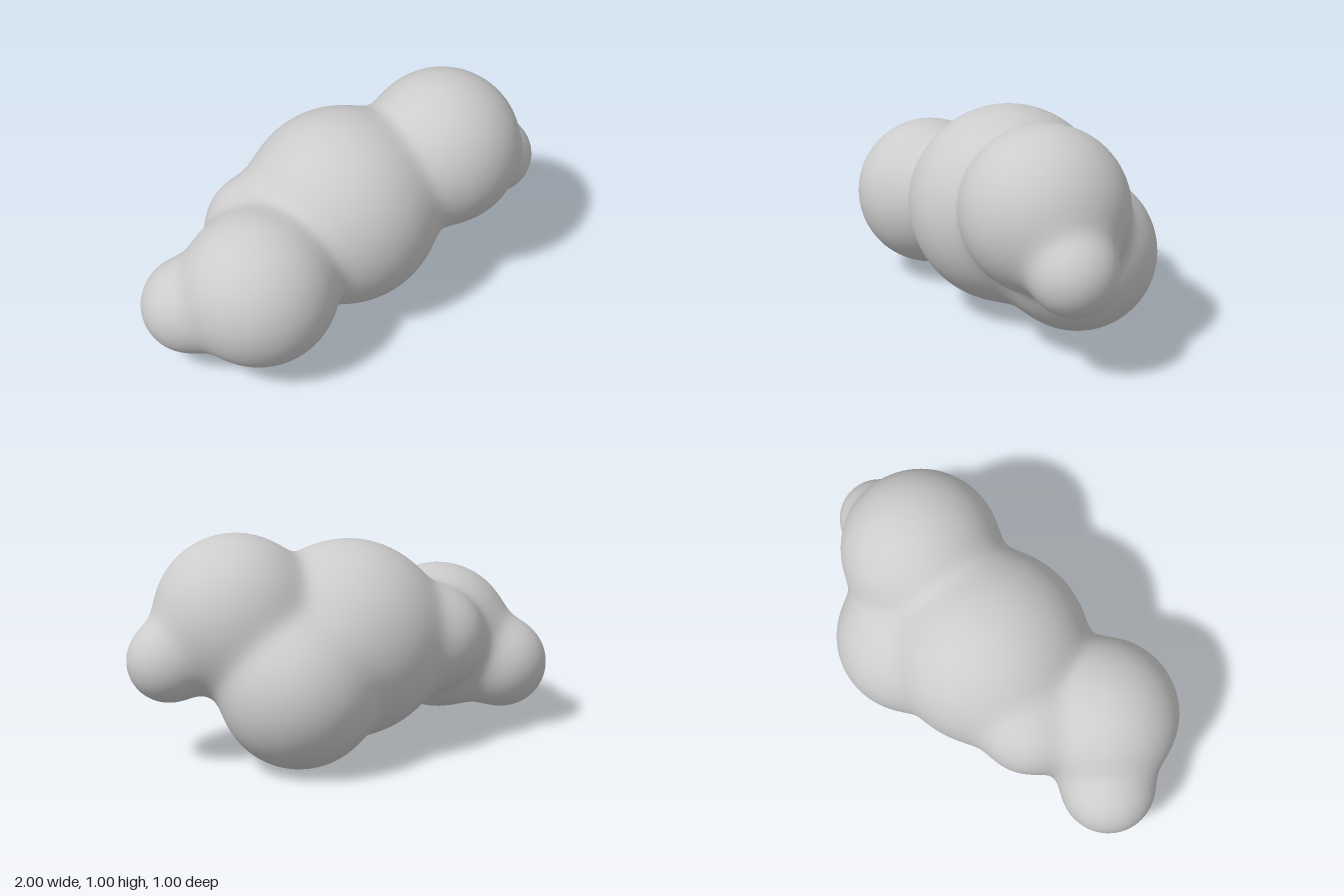
import * as THREE from 'three';

// Puffs of the cloud: name, centre x, y, z and radius
const PUFFS = [
  ['leftEndPuff', 0.82, 0.47, 0.13, 0.18],
  ['leftUpperPuff', 0.51, 0.64, 0.105, 0.36],
  ['leftBackPuff', 0.33, 0.35, -0.15, 0.35],
  ['middlePuff', 0, 0.495, 0.02, 0.445],
  ['rightBackPuff', -0.37, 0.48, -0.11, 0.23],
  ['rightPuff', -0.56, 0.405, 0.16, 0.343],
  ['rightEndPuff', -0.79, 0.29, -0.045, 0.21],
].map(([name, x, y, z, r]) => ({ name, r, centre: new THREE.Vector3(x, y, z) }));

const BLEND = 0.033; // softness of the valleys between puffs
const REACH = 0.09; // how deep inside the cloud a vertex may be and still be lifted

// Signed distance to the softly merged puffs; writes the outward direction to normal
function cloudDistance(p, normal) {
  let sum = 0;
  normal.set(0, 0, 0);
  for (const { centre, r } of PUFFS) {
    const away = p.clone().sub(centre);
    const weight = Math.exp((r - away.length()) / BLEND);
    sum += weight;
    normal.addScaledVector(away.normalize(), weight);
  }
  normal.normalize();
  return -BLEND * Math.log(sum);
}

// A sphere whose vertices near the seams are lifted onto the merged surface
function puffGeometry({ centre, r }) {
  const geometry = new THREE.IcosahedronGeometry(r, r > 0.3 ? 14 : 10);
  const position = geometry.attributes.position;
  const normals = geometry.attributes.normal;
  const p = new THREE.Vector3();
  const n = new THREE.Vector3();
  for (let i = 0; i < position.count; i++) {
    p.fromBufferAttribute(position, i).add(centre);
    if (cloudDistance(p, n) > -REACH) {
      for (let step = 0; step < 4; step++) p.addScaledVector(n, -cloudDistance(p, n));
      cloudDistance(p, n);
      normals.setXYZ(i, n.x, n.y, n.z);
    }
    p.sub(centre);
    position.setXYZ(i, p.x, p.y, p.z);
  }
  return geometry;
}

export function createModel() {
  const cloud = new THREE.Group();
  cloud.name = 'cloud';
  const material = new THREE.MeshStandardMaterial({ color: 0xcccccc });
  material.name = 'cloudGrey';
  for (const puff of PUFFS) {
    const mesh = new THREE.Mesh(puffGeometry(puff), material);
    mesh.name = puff.name;
    mesh.position.copy(puff.centre);
    cloud.add(mesh);
  }
  return cloud;
}
